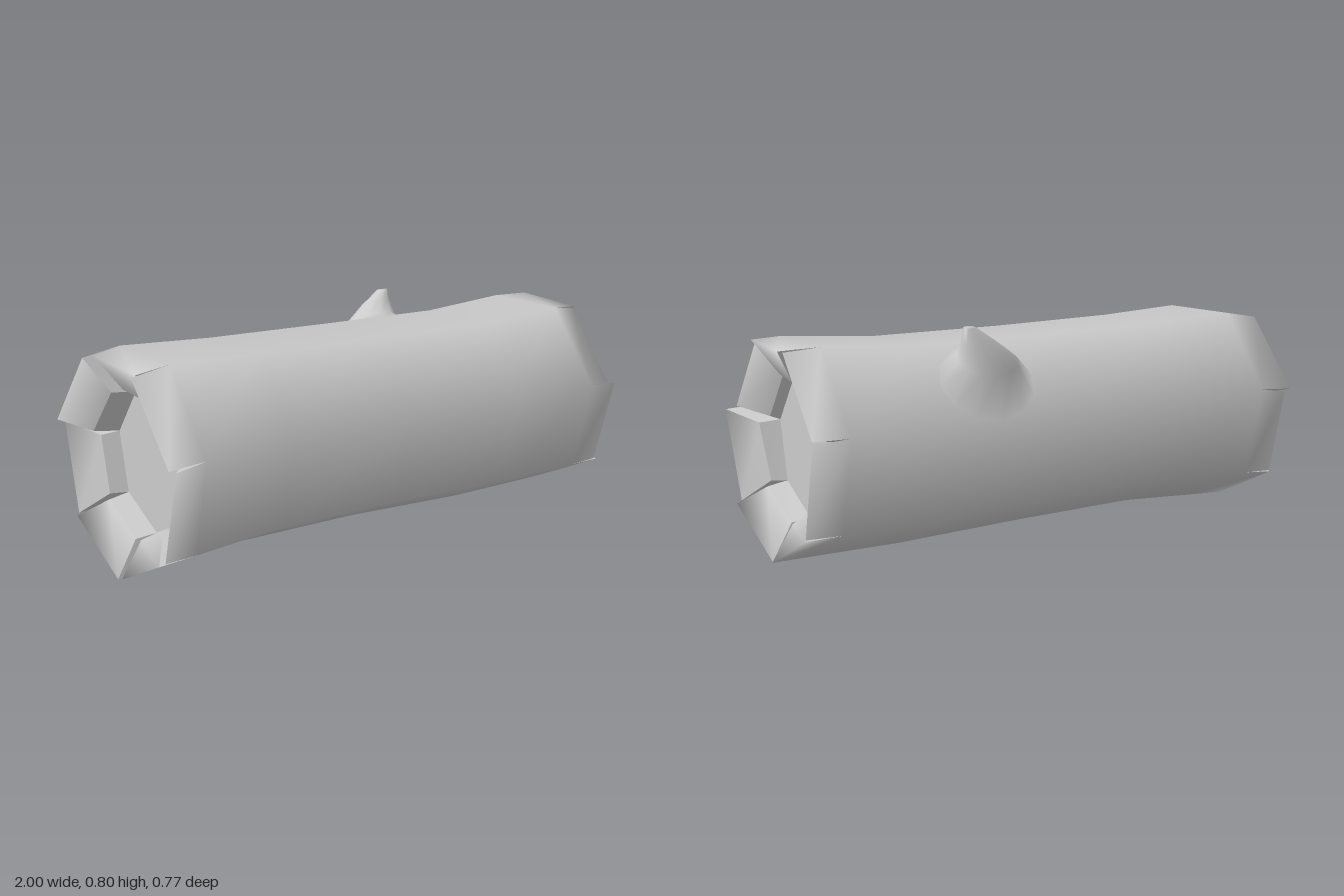
import * as THREE from 'three';

const SIDES = 7;
const material = new THREE.MeshStandardMaterial({ color: 0xcccccc, side: THREE.DoubleSide });

// Point on a heptagon ring; corner 0 is at the bottom, corners run towards the front
function ringPoint([x, cy, cz, r], k) {
  const a = (k / SIDES) * Math.PI * 2;
  return new THREE.Vector3(x, cy - r * Math.cos(a), cz + r * Math.sin(a));
}

// Collects points and faces; the corner order is reversed when flip is set
class Builder {
  positions = [];
  index = [];
  add(p) {
    this.positions.push(p.x, p.y, p.z);
    return this.positions.length / 3 - 1;
  }
  face(ids, flip = false) {
    const f = flip ? [...ids].reverse() : ids;
    for (let i = 1; i < f.length - 1; i++) this.index.push(f[0], f[i], f[i + 1]);
  }
  mesh(name) {
    const g = new THREE.BufferGeometry();
    g.setAttribute('position', new THREE.Float32BufferAttribute(this.positions, 3));
    g.setIndex(this.index);
    g.computeVertexNormals();
    const m = new THREE.Mesh(g, material);
    m.name = name;
    return m;
  }
}

// Trunk rings: x, centre y, centre z, radius
const TRUNK = [
  [-0.85, 0.408, 0, 0.397],
  [-0.5, 0.409, -0.008, 0.376],
  [0, 0.399, -0.014, 0.374],
  [0.5, 0.386, -0.004, 0.381],
  [0.85, 0.397, 0, 0.393],
];

// How far each bark flap reaches at its two corners
const FLAPS = {
  right: [[0.97, 0.98], [0.96, 0.98], [0.94, 0.94], [0.96, 1.0], [0.985, 0.98], [0.98, 0.98], [0.98, 0.975]],
  left: [[0.97, 0.985], [0.965, 0.955], [0.98, 0.99], [0.97, 0.955], [0.99, 1.0], [0.97, 0.97], [0.98, 0.98]],
};

// Recessed wood ring at one end
const innerRing = (s) => [s * 0.83, 0.391, 0, 0.25];

// Two corner points of a flap edge, pulled in from the ring corners
function flapEdge(ring, k, inset, xs) {
  const p0 = ringPoint(ring, k), p1 = ringPoint(ring, (k + 1) % SIDES);
  const a = p0.clone().lerp(p1, inset), b = p1.clone().lerp(p0, inset);
  a.x = xs[0];
  b.x = xs[1];
  return [a, b];
}

function makeBark() {
  const b = new Builder();
  const rows = TRUNK.map((ring) => Array.from({ length: SIDES }, (_, k) => b.add(ringPoint(ring, k))));
  for (let i = 0; i < rows.length - 1; i++) {
    for (let k = 0; k < SIDES; k++) {
      const n = (k + 1) % SIDES;
      b.face([rows[i][k], rows[i + 1][k], rows[i + 1][n], rows[i][n]]);
    }
  }
  // Split flaps at both ends: outer bark, bevelled end, inner wall and slit walls
  for (const s of [1, -1]) {
    const last = s > 0 ? TRUNK.length - 1 : 0;
    const reach = s > 0 ? FLAPS.right : FLAPS.left;
    for (let k = 0; k < SIDES; k++) {
      const n = (k + 1) % SIDES;
      const [t0, t1] = flapEdge([0, 0.394, 0, 0.391], k, 0.015, reach[k].map((x) => s * x));
      const [c0, c1] = flapEdge([0, 0.392, 0, 0.265], k, 0.05, reach[k].map((x) => s * (x - 0.075)));
      const i0 = ringPoint(innerRing(s), k), i1 = ringPoint(innerRing(s), n);
      const o0 = ringPoint(TRUNK[last], k), o1 = ringPoint(TRUNK[last], n);
      const T0 = b.add(t0), T1 = b.add(t1);
      b.face([rows[last][k], T0, T1, rows[last][n]], s < 0);
      b.face([T0, b.add(c0), b.add(c1), T1], s < 0);
      b.face([c0, i0, i1, c1].map((p) => b.add(p)), s < 0);
      b.face([c0, t0, o0, i0].map((p) => b.add(p)), s < 0);
      b.face([c1, i1, o1, t1].map((p) => b.add(p)), s < 0);
    }
  }
  return b.mesh('bark');
}

// Flat recessed wood at one end
function makeCutFace(s) {
  const b = new Builder();
  const ids = Array.from({ length: SIDES }, (_, k) => b.add(ringPoint(innerRing(s), k)));
  b.face(ids, s > 0);
  return b.mesh(s > 0 ? 'cutFaceRight' : 'cutFaceLeft');
}

// Branch stub sections: x range, then the upper and lower (y, z) ends
const STUB = [
  [0.1, 0.47, 0.726, -0.178, 0.485, -0.37],
  [0.19, 0.42, 0.734, -0.235, 0.64, -0.378],
  [0.285, 0.415, 0.772, -0.288, 0.73, -0.366],
  [0.365, 0.41, 0.805, -0.314, 0.8, -0.345],
];

function makeStub() {
  const b = new Builder();
  const count = 12;
  const rows = STUB.map(([x0, x1, ya, za, yb, zb]) =>
    Array.from({ length: count }, (_, k) => {
      const a = (k / count) * Math.PI * 2;
      const u = 0.5 + 0.5 * Math.cos(a), v = 0.5 + 0.5 * Math.sin(a);
      return b.add(new THREE.Vector3(
        THREE.MathUtils.lerp(x0, x1, u),
        THREE.MathUtils.lerp(yb, ya, v),
        THREE.MathUtils.lerp(zb, za, v)
      ));
    }));
  for (let i = 0; i < rows.length - 1; i++) {
    for (let k = 0; k < count; k++) {
      const n = (k + 1) % count;
      b.face([rows[i][k], rows[i][n], rows[i + 1][n], rows[i + 1][k]], true);
    }
  }
  b.face(rows[rows.length - 1], true);
  const stub = b.mesh('branchStub');
  // Base normals follow the trunk so the stub blends into the bark
  const { position, normal } = stub.geometry.attributes;
  for (const i of rows[0]) {
    const v = new THREE.Vector3(0, position.getY(i) - 0.392, position.getZ(i) + 0.01).normalize();
    normal.setXYZ(i, v.x, v.y, v.z);
  }
  return stub;
}

export function createModel() {
  const log = new THREE.Group();
  log.name = 'log';
  log.add(makeBark(), makeCutFace(1), makeCutFace(-1), makeStub());
  return log;
}
